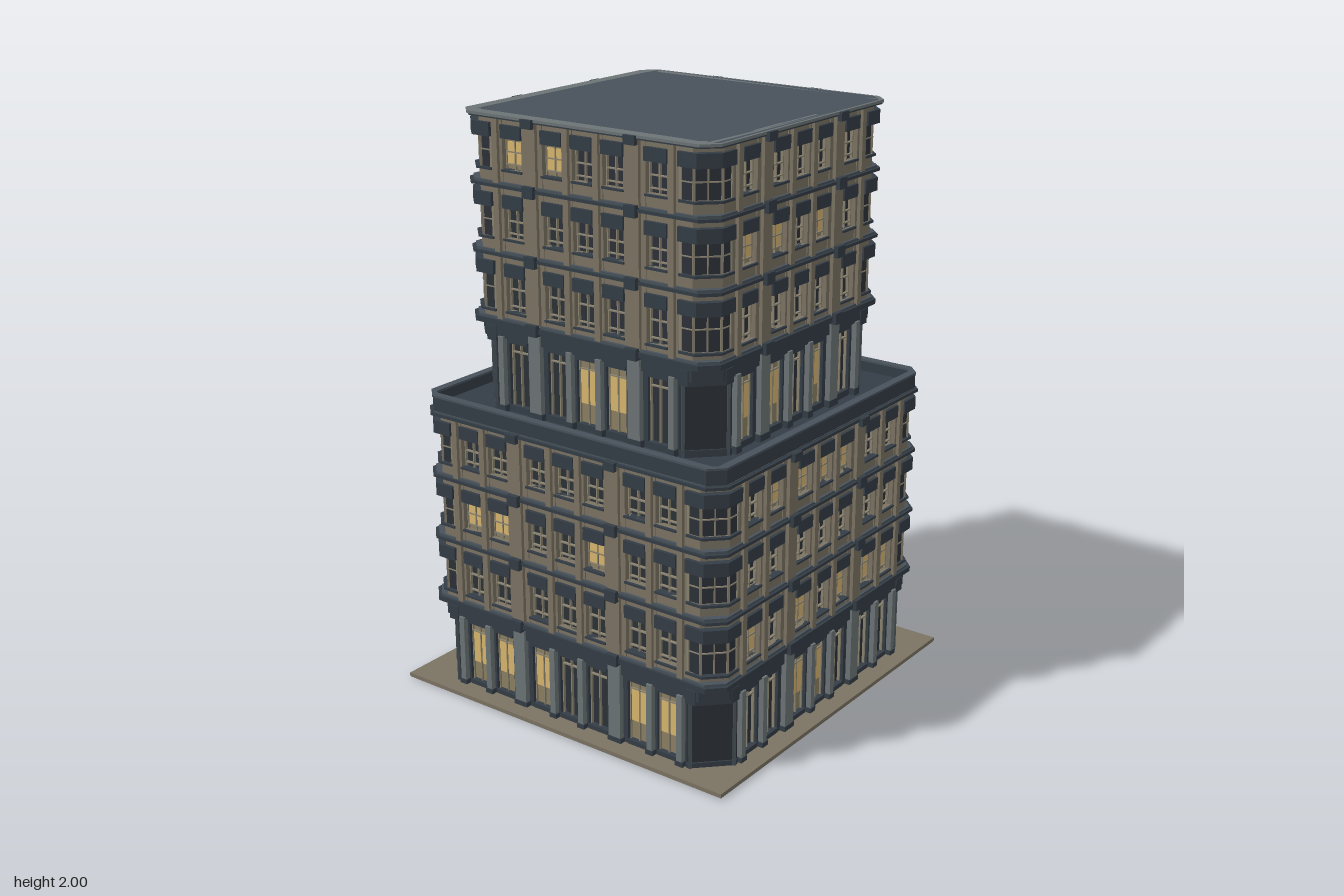
import * as THREE from 'three';
import { mergeGeometries } from 'three/addons/utils/BufferGeometryUtils.js';

const COLORS = {
  stone: 0x7b7363, frame: 0x8a8270, slate: 0x343d46, trim: 0x48525a, grey: 0x6c7476,
  glass: 0x2c3138, roof: 0x383e47, lit: 0xd8b66e, dimLit: 0x8c8062,
};

// Square outline with cut corners
function outline(h, c, P = THREE.Shape) {
  const p = [[h - c, h], [h, h - c], [h, c - h], [h - c, -h], [c - h, -h], [-h, c - h], [-h, h - c], [c - h, h]];
  return new P(p.map(([x, y]) => new THREE.Vector2(x, y)));
}

function roundedHole(h, r) {
  const p = new THREE.Path();
  [[1, 1], [-1, 1], [-1, -1], [1, -1]].forEach(([sx, sy], i) =>
    p.absarc(sx * (h - r), sy * (h - r), r, i * Math.PI / 2, (i + 1) * Math.PI / 2, false));
  return p;
}

// Shape lying in the ground plane, extruded from y0 to y1
function prism(shape, y0, y1) {
  const g = new THREE.ExtrudeGeometry(shape, { depth: y1 - y0, bevelEnabled: false, curveSegments: 6 });
  return g.rotateX(-Math.PI / 2).translate(0, y0, 0);
}

// Gathers the geometry of each named part into one mesh per part
function collector(group, mats) {
  const parts = new Map();
  const add = (name, mat, geo) => {
    if (!parts.has(name)) parts.set(name, { mat, geos: [] });
    parts.get(name).geos.push(geo.index ? geo.toNonIndexed() : geo);
  };
  const finish = () => parts.forEach(({ mat, geos }, name) => {
    const mesh = new THREE.Mesh(mergeGeometries(geos), mats[mat]);
    mesh.name = name;
    group.add(mesh);
  });
  return { add, finish };
}

function buildTier(group, mats, { H, y, bays, lit, litCorners }) {
  const { add, finish } = collector(group, mats);
  const E = H - 0.115;                       // where the flat facade meets the corner bay
  const C = H + 0.015;                       // cornice half width
  const floors = [0.33, 0.555, 0.78].map(v => v + y);

  // Glazed core behind the facades
  add('core', 'glass', prism(outline(H - 0.025, 0.1), y + 0.01, y + 0.99));
  // Frieze above the ground floor and a cornice at every floor
  add('frieze', 'slate', prism(outline(H + 0.005, 0.07), y + 0.265, y + 0.31));
  [...floors, y + 1].forEach((f, i) => {
    const low = i === 0 ? 0.022 : 0.014;
    add('cornices', 'slate', prism(outline(C, 0.05), f - low, f - 0.004));
    add('corniceSteps', 'trim', prism(outline(C - 0.008, 0.05), f - 0.004, i === 3 ? f : f + 0.004));
  });

  for (let side = 0; side < 4; side++) {
    const turn = side * Math.PI / 2;
    // Box spanning u0..u1 across, y0..y1 up and w0..w1 outward
    const boxAt = (angle) => (name, mat, u0, u1, y0, y1, w0, w1) => {
      const g = new THREE.BoxGeometry(u1 - u0, y1 - y0, w1 - w0);
      g.translate((u0 + u1) / 2, (y0 + y1) / 2, (w0 + w1) / 2).rotateY(angle);
      add(name, mat, g);
    };
    const box = boxAt(turn);

    // Piers between the bays, with pilasters in front
    const edges = [-E, ...bays.flatMap(b => [b - 0.04, b + 0.04]), E];
    for (let i = 0; i < edges.length; i += 2) {
      const a = edges[i], b = edges[i + 1], m = (a + b) / 2;
      const wide = b - a > 0.06, hw = wide ? 0.024 : 0.011;
      box('groundPiers', 'slate', a, b, y + 0.01, y + 0.27, H - 0.03, H - 0.006);
      box('groundPilasters', 'grey', m - hw, m + hw, y + 0.01, y + (wide ? 0.3 : 0.27), H - 0.02, H + 0.013);
      box('pilasterFeet', 'slate', m - hw - 0.004, m + hw + 0.004, y + 0.01, y + 0.035, H - 0.02, H + 0.015);
      for (const f of floors) {
        box('upperPiers', 'stone', a, b, f, f + 0.215, H - 0.03, H);
        box('upperPilasters', 'stone', m - hw, m + hw, f, f + 0.212, H - 0.01, H + 0.012);
        if (wide) box('corniceBlocks', 'slate', m - 0.022, m + 0.022, f - 0.03, f + 0.008, H, H + 0.028);
      }
      if (wide) box('corniceBlocks', 'slate', m - 0.022, m + 0.022, y + 0.97, y + 0.999, H, H + 0.028);
    }

    // Windows of every bay
    bays.forEach((u, i) => {
      const w = H - 0.025;
      const on = lit[side].map(list => list.includes(i));
      // Tall ground floor window
      if (on[0]) {
        box('dimPanes', 'dimLit', u - 0.036, u + 0.036, y + 0.035, y + 0.26, w, w + 0.003);
        box('litPanes', 'lit', u - 0.034, u + 0.034, y + 0.1, y + 0.215, w + 0.003, w + 0.006);
      }
      for (const d of [-0.036, 0, 0.036])
        box('windowFrames', 'frame', u + d - 0.002, u + d + 0.002, y + 0.03, y + 0.25, w, w + 0.01);
      box('windowFrames', 'frame', u - 0.036, u + 0.036, y + 0.216, y + 0.22, w, w + 0.01);
      box('groundSills', 'slate', u - 0.04, u + 0.04, y + 0.01, y + 0.034, w, H - 0.004);
      box('groundHeads', 'slate', u - 0.04, u + 0.04, y + 0.25, y + 0.27, w, H);
      // Upper floor windows
      floors.forEach((f, n) => {
        const b = f + (n ? 0.045 : 0.028), t = f + 0.145;
        box('spandrels', 'stone', u - 0.04, u + 0.04, f, b, w - 0.005, H - 0.003);
        box('spandrels', 'stone', u - 0.04, u + 0.04, t + 0.04, f + 0.215, w - 0.005, H - 0.003);
        box('lintels', 'slate', u - 0.042, u + 0.042, t, t + 0.043, w - 0.005, H + 0.008);
        box('sills', 'slate', u - 0.042, u + 0.042, b - 0.007, b, w, H + 0.006);
        if (on[n + 1]) {
          box('dimPanes', 'dimLit', u - 0.038, u + 0.038, b, t, w, w + 0.003);
          box('litPanes', 'lit', u - 0.036, u + 0.036, b + 0.018, t - 0.012, w + 0.003, w + 0.006);
        }
        for (const d of [-0.036, 0, 0.036])
          box('windowFrames', 'frame', u + d - 0.002, u + d + 0.002, b, t, w, w + 0.01);
        for (const h of [b + 0.015, t - 0.045])
          box('windowFrames', 'frame', u - 0.036, u + 0.036, h - 0.002, h + 0.002, w, w + 0.01);
      });
    });

    // Corner bay: a cut-corner block clockwise from each facade
    const cornerBlock = (name, mat, h, c, y0, y1) => {
      const s = new THREE.Shape([[E, E], [h, E], [h, h - c], [h - c, h], [E, h]].map(p => new THREE.Vector2(...p)));
      add(name, mat, prism(s, y0, y1).rotateY(turn));
    };
    const diag = boxAt(turn + 3 * Math.PI / 4);
    const face = (h, c) => (2 * h - c) / Math.SQRT2;
    const litHere = litCorners[side] || [];
    const gw = face(H, 0.105);
    cornerBlock('cornerGlass', 'glass', H, 0.105, y + 0.01, y + 0.265);
    cornerBlock('cornerPlinths', 'slate', H + 0.004, 0.105, y + 0.01, y + 0.035);
    cornerBlock('cornerHeads', 'slate', H + 0.008, 0.085, y + 0.25, y + 0.3);
    if (litHere.includes(0)) {
      diag('dimPanes', 'dimLit', -0.068, 0.068, y + 0.035, y + 0.25, gw, gw + 0.003);
      diag('litPanes', 'lit', -0.066, 0.066, y + 0.1, y + 0.21, gw + 0.003, gw + 0.006);
    }
    for (const d of [-0.071, 0.071])
      diag('cornerPosts', 'trim', d - 0.005, d + 0.005, y + 0.01, y + 0.25, gw - 0.01, gw + 0.008);
    floors.forEach((f, n) => {
      const b = f + (n ? 0.045 : 0.028), t = f + 0.145, w = face(H, 0.065);
      cornerBlock('cornerSpandrels', 'stone', H, 0.065, f, b);
      cornerBlock('cornerSills', 'slate', H + 0.007, 0.06, b - 0.008, b);
      cornerBlock('cornerGlass', 'glass', H - 0.004, 0.065, b, t);
      cornerBlock('cornerLintels', 'slate', H + 0.012, 0.055, t, t + 0.045);
      cornerBlock('cornerSpandrels', 'stone', H, 0.065, t + 0.045, f + 0.215);
      if (litHere.includes(n + 1))
        diag('litPanes', 'lit', -0.036, 0.036, b + 0.016, t - 0.012, w - 0.008, w - 0.002);
      for (const d of [-0.043, 0, 0.043]) {
        const r = d ? 0.004 : 0.002;
        diag('cornerFrames', 'frame', d - r, d + r, b, t, w - 0.012, w + 0.001);
      }
      diag('cornerFrames', 'frame', -0.043, 0.043, t - 0.047, t - 0.043, w - 0.012, w);
      // Narrow side lights of the corner bay
      for (const [ang, s] of [[turn + Math.PI / 2, 1], [turn + Math.PI, -1]]) {
        const a = Math.min(s * E, s * (E + 0.008)), m = s * (E + 0.03);
        boxAt(ang)('cornerFrames', 'frame', a, a + 0.008, b, t, H - 0.02, H);
        boxAt(ang)('cornerFrames', 'frame', m - 0.025, m + 0.025, t - 0.047, t - 0.043, H - 0.01, H - 0.001);
      }
    });
  }
  finish();
}

export function createModel() {
  const mats = {};
  for (const [name, color] of Object.entries(COLORS)) {
    mats[name] = new THREE.MeshStandardMaterial({ color });
    mats[name].name = name;
  }
  const model = new THREE.Group();
  model.name = 'building';
  const addGroup = (name) => {
    const g = new THREE.Group();
    g.name = name;
    model.add(g);
    return g;
  };

  // Pavement slab, with a ribbed dark underside
  const base = collector(addGroup('base'), mats);
  base.add('pavement', 'stone', new THREE.BoxGeometry(1.34, 0.014, 1.34).translate(0, 0.011, 0));
  base.add('underside', 'glass', prism(outline(0.6, 0.08), 0.002, 0.005));
  for (let i = -4; i <= 4; i++) {
    base.add('undersideRibs', 'slate', new THREE.BoxGeometry(0.04, 0.003, 1.05).translate(i * 0.125, 0.0015, 0));
    base.add('undersideRibs', 'slate', new THREE.BoxGeometry(1.05, 0.003, 0.04).translate(0, 0.0015, i * 0.125));
  }
  base.finish();

  // Sides in order: front, +x, back, -x; each lists lit bays per floor
  buildTier(addGroup('lowerTier'), mats, {
    H: 0.6, y: 0, bays: [-0.405, -0.285, -0.12, 0, 0.12, 0.285, 0.405],
    lit: [
      [[0, 1, 2, 5, 6], [], [0, 1, 4], []],
      [[2, 3], [0, 2, 4, 5, 6], [], [1, 2, 3, 4]],
      [[4, 5], [1, 2, 3], [0, 4], []],
      [[], [4], [3], [6]],
    ],
    litCorners: { 2: [0, 3] },
  });
  buildTier(addGroup('upperTier'), mats, {
    H: 0.485, y: 1, bays: [-0.285, -0.12, 0, 0.12, 0.285],
    lit: [
      [[2, 3], [], [], [0, 1]],
      [[0, 1, 3], [], [0, 1, 3], []],
      [[1], [], [2], [1]],
      [[], [3], [], []],
    ],
    litCorners: {},
  });

  // Terrace with its parapet, and the top roof with its rim
  const roofs = collector(addGroup('roofs'), mats);
  const ring = (h, c, inner, r) => {
    const s = outline(h, c);
    s.holes.push(roundedHole(inner, r));
    return s;
  };
  roofs.add('terrace', 'slate', prism(outline(0.6, 0.05), 0.995, 1.012));
  roofs.add('parapet', 'slate', prism(ring(0.605, 0.045, 0.58, 0.02), 1, 1.048));
  roofs.add('parapetCap', 'trim', prism(ring(0.607, 0.045, 0.578, 0.02), 1.048, 1.055));
  roofs.add('roof', 'roof', prism(outline(0.48, 0.05), 1.98, 1.994));
  roofs.add('roofRim', 'grey', prism(ring(0.502, 0.046, 0.457, 0.035), 1.991, 2.0));
  roofs.finish();
  return model;
}
